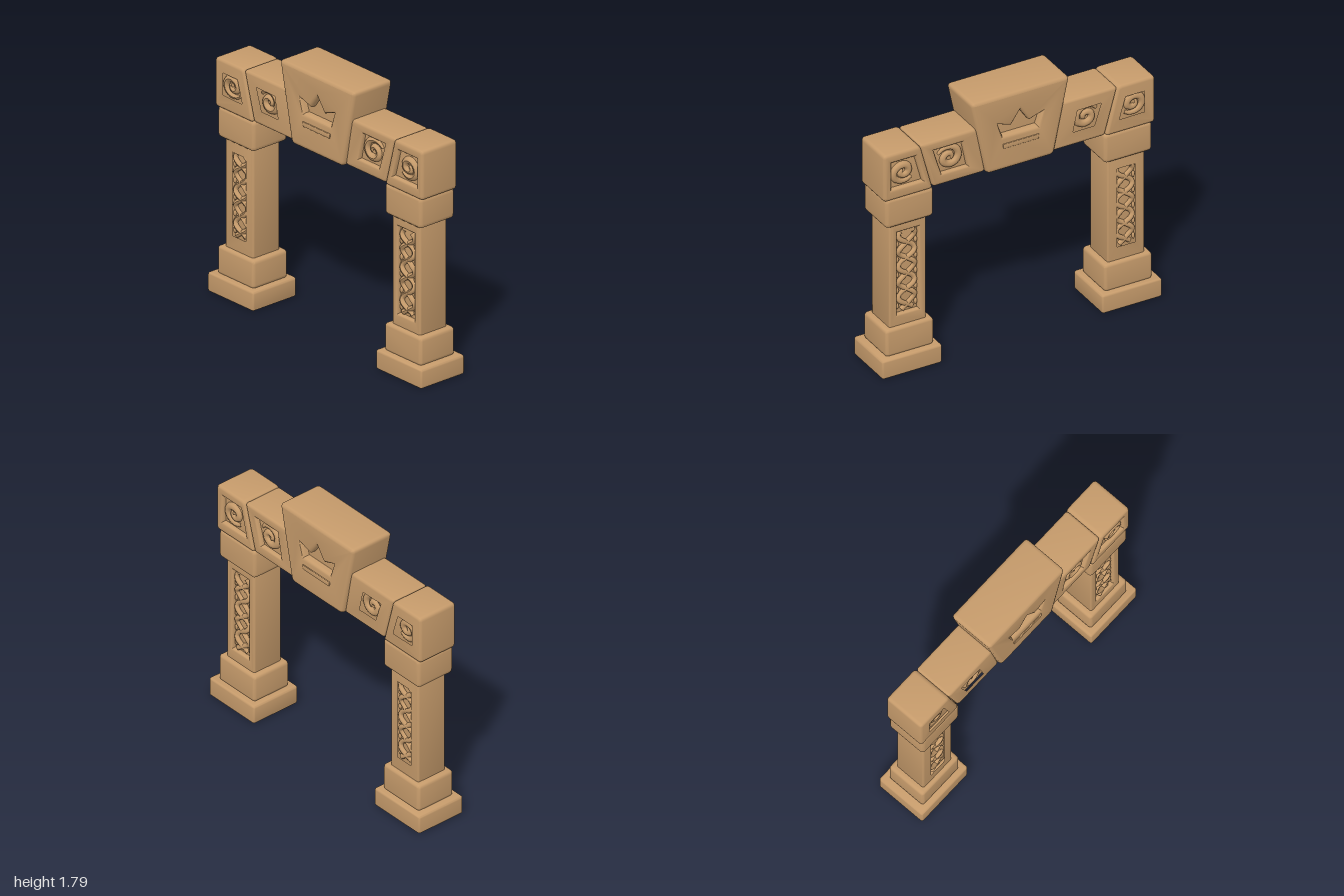
import * as THREE from 'three';
import { toCreasedNormals } from 'three/addons/utils/BufferGeometryUtils.js';

const sandstone = new THREE.MeshStandardMaterial({ color: 0xc69b6b });
sandstone.name = 'sandstone';

const RECESS = 0.03;

function add(parent, name, geometry) {
  const mesh = new THREE.Mesh(geometry, sandstone);
  mesh.name = name;
  parent.add(mesh);
  return mesh;
}

// Polygon outline with rounded corners
function outline(points, radius, target = new THREE.Shape()) {
  const v = points.map(([x, y]) => new THREE.Vector2(x, y));
  v.forEach((p, i) => {
    const toward = (q) => p.clone().add(q.clone().sub(p).setLength(radius));
    const a = toward(v[(i + v.length - 1) % v.length]);
    const b = toward(v[(i + 1) % v.length]);
    if (i === 0) target.moveTo(a.x, a.y);
    else target.lineTo(a.x, a.y);
    target.quadraticCurveTo(p.x, p.y, b.x, b.y);
  });
  target.closePath();
  return target;
}

// Soft-edged block, reaching z = -d to d, with an optional hole
function slab(points, d, bevel, hole) {
  const shape = outline(points, bevel * 1.3);
  if (hole) shape.holes.push(new THREE.Path(hole.map(([x, y]) => new THREE.Vector2(x, y))));
  const g = new THREE.ExtrudeGeometry(shape, {
    depth: 2 * (d - bevel), bevelThickness: bevel, bevelSize: bevel,
    bevelOffset: -bevel, bevelSegments: 3, curveSegments: 4,
  });
  g.translate(0, 0, bevel - d);
  return toCreasedNormals(g, 0.7);
}

// Block with a sunken panel on front and back: a pierced shell around a core
function carvedBlock(parent, name, points, d, hole, bevel = 0.016, recess = RECESS) {
  const block = new THREE.Group();
  block.name = name;
  parent.add(block);
  add(block, name + 'Shell', slab(points, d, bevel, hole));
  const cx = points.reduce((s, p) => s + p[0], 0) / points.length;
  const cy = points.reduce((s, p) => s + p[1], 0) / points.length;
  const inner = points.map(([x, y]) => [cx + (x - cx) * 0.9, cy + (y - cy) * 0.9]);
  add(block, name + 'PanelFloor', slab(inner, d - recess, 0.004));
  return block;
}

// Flattened carved strand whose thickness follows radiusAt(t)
function strand(points, radiusAt, segments) {
  const curve = new THREE.CatmullRomCurve3(points);
  const g = new THREE.TubeGeometry(curve, segments, 1, 8);
  const pos = g.attributes.position;
  const v = new THREE.Vector3();
  for (let i = 0; i <= segments; i++) {
    const c = curve.getPointAt(i / segments);
    for (let j = 0; j <= 8; j++) {
      const k = i * 9 + j;
      v.fromBufferAttribute(pos, k).sub(c).multiplyScalar(radiusAt(i / segments)).add(c);
      pos.setXYZ(k, v.x, v.y, v.z);
    }
  }
  g.computeVertexNormals();
  return g;
}

// Spiral carving on both faces
function swirl(parent, cx, cy, s, d, size, start) {
  const points = [];
  for (let i = 0; i <= 30; i++) {
    const t = i / 30;
    const a = start + t * Math.PI * 3.1;
    const r = size * (1 - 0.88 * t);
    points.push(new THREE.Vector3(s * r * Math.cos(a), r * Math.sin(a) * 0.9, 0));
  }
  const g = strand(points, (t) => 0.006 + 0.02 * Math.sin(Math.PI * Math.min(1, t * 0.75 + 0.08)), 60);
  for (const f of [1, -1]) {
    const m = add(parent, f > 0 ? 'frontSwirl' : 'backSwirl', g);
    m.position.set(cx * s, cy, f * (d - RECESS));
    m.scale.z = 0.95;
  }
}

// Interlaced strands on both faces of a shaft
function braid(parent, cx, d) {
  for (const f of [1, -1]) {
    for (const side of [1, -1]) {
      const points = [];
      for (let i = 0; i <= 40; i++) {
        const t = i / 40;
        const a = t * Math.PI * 5 + Math.PI / 2;
        points.push(new THREE.Vector3(
          cx + side * 0.058 * Math.sin(a + Math.PI / 4),
          0.415 + 0.56 * t,
          f * (d - RECESS + 0.006) + side * 0.006 * Math.cos(2 * a)));
      }
      add(parent, f > 0 ? 'frontBraid' : 'backBraid', strand(points, () => 0.017, 80));
    }
    // Small beads filling the gaps beside the crossings
    for (let i = 0; i < 5; i++) {
      for (const side of [1, -1]) {
        const bead = add(parent, 'braidBead', new THREE.SphereGeometry(0.014, 10, 6));
        bead.scale.set(0.8, 1.6, 0.9);
        bead.position.set(cx + side * 0.066, 0.443 + 0.112 * i, f * (d - RECESS + 0.004));
      }
    }
  }
}

function buildSide(s) {
  const side = new THREE.Group();
  side.name = s > 0 ? 'leftSide' : 'rightSide';
  const flip = (pts) => pts.map(([x, y]) => [x * s, y]);
  const rect = (x0, x1, y0, y1) => flip([[x0, y0], [x1, y0], [x1, y1], [x0, y1]]);

  // Pillar
  add(side, 'base', slab(rect(0.572, 1, 0, 0.132), 0.18, 0.014));
  add(side, 'plinth', slab(rect(0.61, 0.952, 0.125, 0.318), 0.142, 0.02));
  carvedBlock(side, 'shaft', rect(0.648, 0.912, 0.3, 1.075), 0.112, rect(0.7, 0.856, 0.395, 0.99), 0.014);
  braid(side, 0.778 * s, 0.112);
  add(side, 'capital', slab(rect(0.61, 0.952, 1.055, 1.265), 0.142, 0.024));

  // Corner stone
  carvedBlock(side, 'cornerStone',
    flip([[0.617, 1.257], [0.97, 1.257], [0.97, 1.592], [0.706, 1.592]]), 0.145,
    flip([[0.69, 1.335], [0.912, 1.335], [0.912, 1.525], [0.742, 1.525]]), 0.02);
  swirl(side, 0.822, 1.432, s, 0.145, 0.083, -2.4);

  // Lintel stone
  carvedBlock(side, 'lintelStone',
    flip([[0.24, 1.262], [0.615, 1.262], [0.706, 1.59], [0.3, 1.59]]), 0.138,
    flip([[0.365, 1.34], [0.552, 1.34], [0.608, 1.522], [0.402, 1.522]]), 0.018);
  swirl(side, 0.488, 1.432, s, 0.138, 0.088, 0.5);
  return side;
}

export function createModel() {
  const arch = new THREE.Group();
  arch.name = 'stoneArch';
  arch.add(buildSide(1), buildSide(-1));

  // Keystone with a pointed recess and a ledge below it
  const key = carvedBlock(arch, 'keystone',
    [[-0.24, 1.25], [0.24, 1.25], [0.352, 1.787], [-0.352, 1.787]], 0.16,
    [[-0.125, 1.49], [0.125, 1.49], [0.158, 1.585], [0.065, 1.55], [0, 1.645], [-0.065, 1.55], [-0.158, 1.585]],
    0.024, 0.05);
  for (const f of [1, -1]) {
    const ledge = add(key, f > 0 ? 'frontLedge' : 'backLedge',
      slab([[-0.125, 1.405], [0.125, 1.405], [0.13, 1.438], [-0.13, 1.438]], 0.012, 0.006));
    ledge.position.z = f * 0.155;
  }
  return arch;
}
